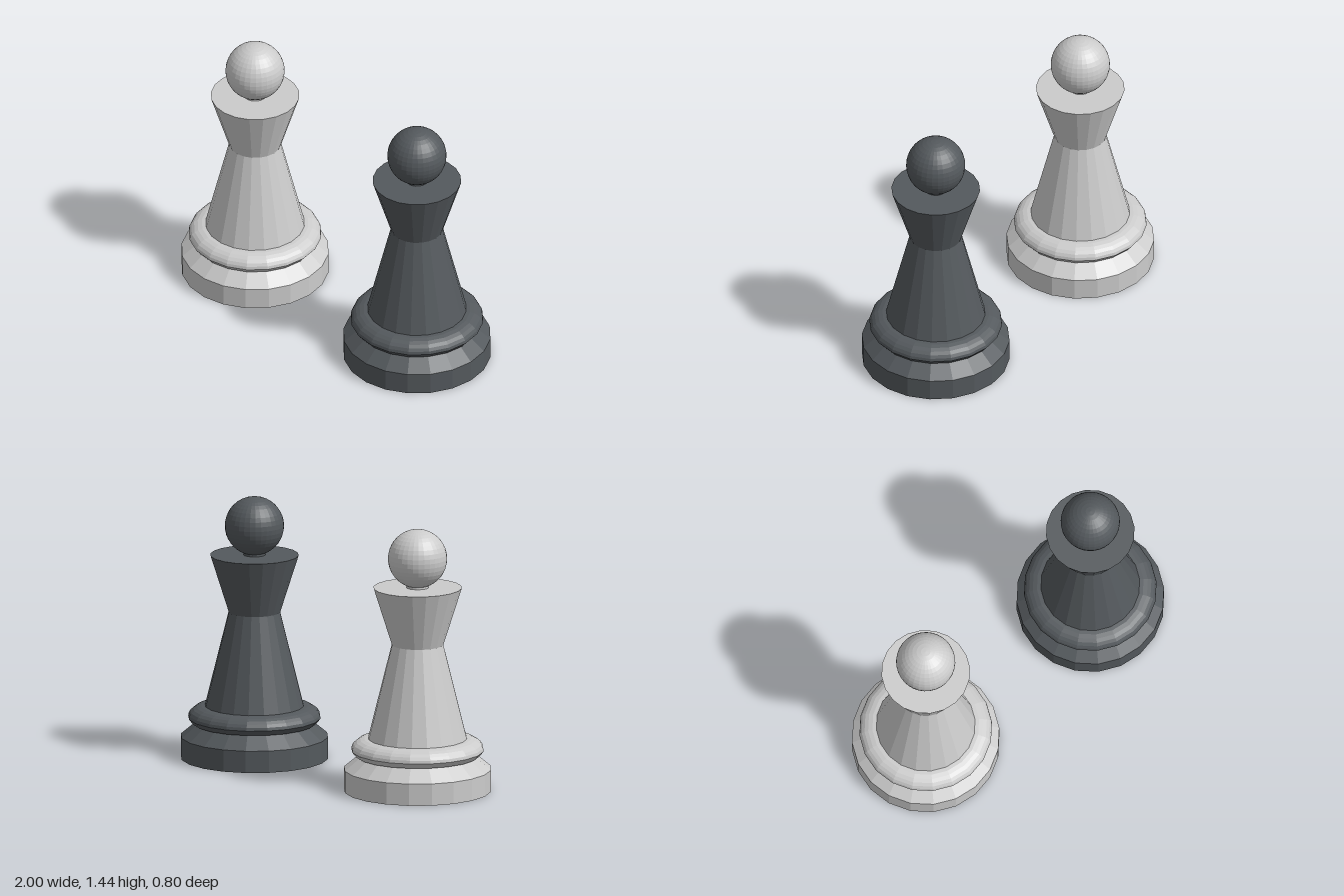
import * as THREE from 'three';

const SIDES = 20;

// Turned part from [radius, height] pairs, listed bottom to top
function turned(name, points, material) {
  const profile = points.map(([r, y]) => new THREE.Vector2(r, y));
  const mesh = new THREE.Mesh(new THREE.LatheGeometry(profile, SIDES), material);
  mesh.name = name;
  return mesh;
}

function createPiece(name, x, color) {
  const material = new THREE.MeshStandardMaterial({ color, flatShading: true });
  const piece = new THREE.Group();
  piece.name = name;
  piece.position.x = x;

  // Foot: straight drum with a sloping shoulder
  piece.add(turned('base', [[0, 0], [0.4, 0], [0.4, 0.12], [0.305, 0.2]], material));

  // Rounded collar with a flat underside
  const collar = [[0.29, 0.19], [0.335, 0.192]];
  for (let i = 0; i <= 6; i++) {
    const a = (i / 6) * Math.PI / 2;
    collar.push([0.265 + 0.095 * Math.cos(a), 0.222 + 0.066 * Math.sin(a)]);
  }
  piece.add(turned('collar', collar, material));

  // Waisted body flaring out to a flat top
  piece.add(turned('body', [[0.27, 0.28], [0.14, 0.805], [0.24, 1.12], [0, 1.12]], material));

  // Short neck and ball finial
  piece.add(turned('neck', [[0.06, 1.12], [0.06, 1.15]], material));
  const ball = new THREE.Mesh(new THREE.SphereGeometry(0.16, 32, 20), material);
  ball.name = 'ball';
  ball.position.y = 1.28;
  piece.add(ball);
  return piece;
}

export function createModel() {
  const model = new THREE.Group();
  model.name = 'chessPieces';
  model.add(createPiece('lightPiece', -0.6, 0xcccccc));
  model.add(createPiece('darkPiece', 0.6, 0x54595d));
  return model;
}
